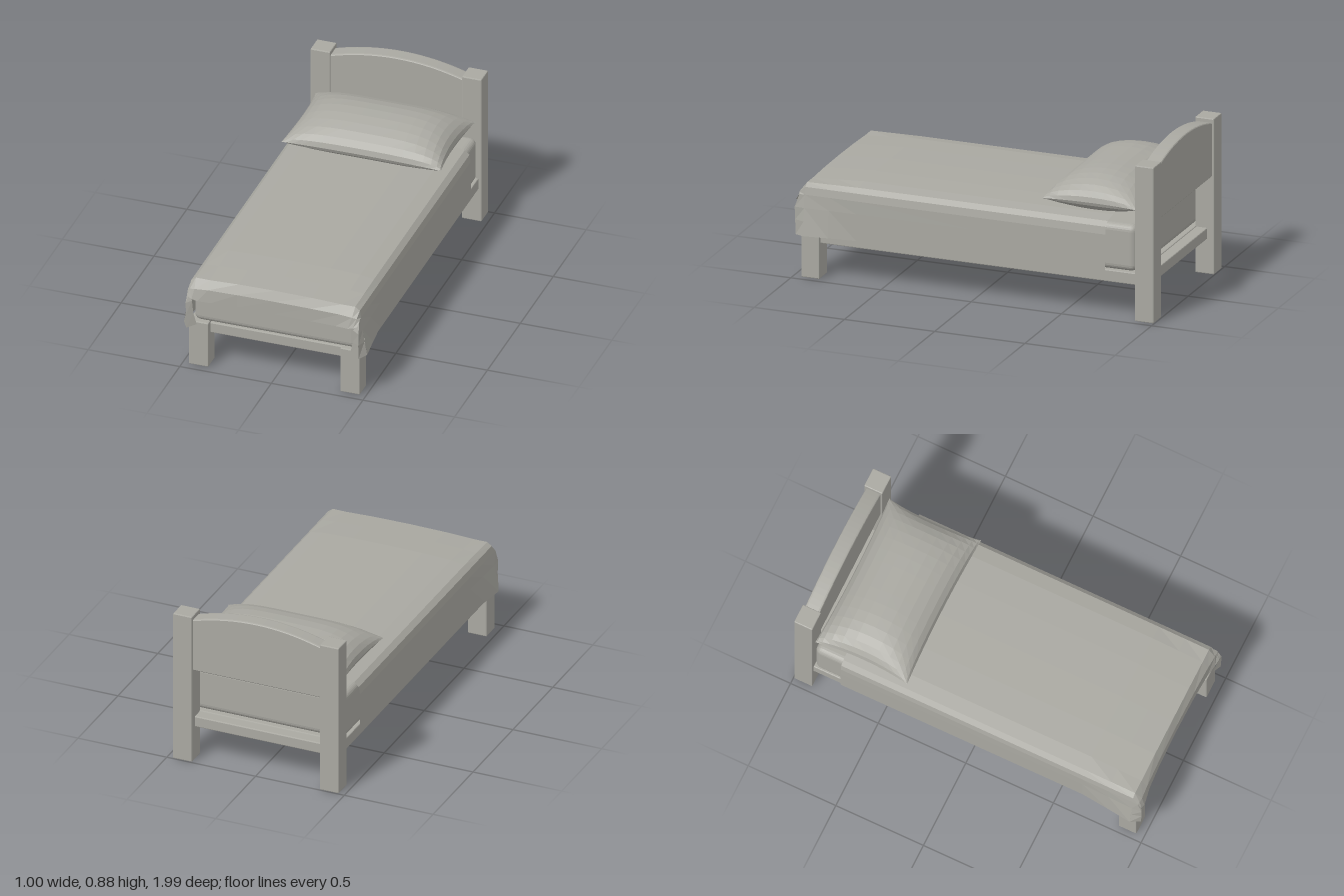
import * as THREE from 'three';
import { RoundedBoxGeometry } from 'three/addons/geometries/RoundedBoxGeometry.js';

const grey = new THREE.MeshStandardMaterial({ color: 0xa9a8a1, flatShading: true, side: THREE.DoubleSide });
grey.name = 'warm grey';

// Sheet through rows of [x, y, z] points
function loft(rows) {
  const n = rows[0].length, index = [];
  for (let i = 0; i < rows.length - 1; i++) {
    for (let j = 0; j < n - 1; j++) {
      const a = i * n + j, b = a + n;
      index.push(a, b, a + 1, b, b + 1, a + 1);
    }
  }
  const geo = new THREE.BufferGeometry();
  geo.setAttribute('position', new THREE.Float32BufferAttribute(rows.flat(2), 3));
  geo.setIndex(index);
  geo.computeVertexNormals();
  return geo;
}

// Half profile, centre to edge, mirrored into a full row from -x to +x
const mirrorRow = (half) => [
  ...half.slice(1).reverse().map(([x, y, z]) => [-x, y, z]),
  ...half,
];

export function createModel() {
  const model = new THREE.Group();
  model.name = 'bed';

  function add(name, geo) {
    const mesh = new THREE.Mesh(geo, grey);
    mesh.name = name;
    model.add(mesh);
    return mesh;
  }
  // Box given by its limits, with softened edges
  function box(name, x0, x1, y0, y1, z0, z1, r = 0.005, seg = 1) {
    const geo = new RoundedBoxGeometry(x1 - x0, y1 - y0, z1 - z0, seg, r);
    geo.translate((x0 + x1) / 2, (y0 + y1) / 2, (z0 + z1) / 2);
    return add(name, geo);
  }

  // Posts and legs
  for (const s of [-1, 1]) {
    const side = s > 0 ? 'left' : 'right';
    const x0 = s > 0 ? 0.36 : -0.467, x1 = s > 0 ? 0.467 : -0.36;
    box(side + 'HeadPost', x0, x1, 0, 0.847, -0.997, -0.893);
    box(side + 'FrontLeg', x0, x1, 0, 0.26, 0.855, 0.957);
  }

  // Bed base, narrower between the posts
  box('base', -0.45, 0.45, 0.19, 0.255, -0.9, 0.86);
  box('footRail', -0.365, 0.365, 0.19, 0.25, 0.84, 0.925);
  box('headRail', -0.365, 0.365, 0.19, 0.25, -0.96, -0.88);

  // Arched headboard
  const arch = new THREE.Shape();
  arch.moveTo(-0.362, 0.536);
  arch.lineTo(0.362, 0.536);
  arch.lineTo(0.362, 0.818);
  arch.quadraticCurveTo(0, 0.93, -0.362, 0.818);
  const board = new THREE.ExtrudeGeometry(arch, {
    depth: 0.062, curveSegments: 24, bevelEnabled: true,
    bevelThickness: 0.01, bevelSize: 0.006, bevelSegments: 2,
  });
  board.translate(0, 0, -0.975);
  add('headboard', board);

  // Mattress
  box('mattress', -0.447, 0.447, 0.255, 0.507, -0.89, 0.94, 0.035, 3);

  // Blanket: U-shaped sections along z, flared at the foot
  const section = (z, drop, flare, hem) => mirrorRow([
    [0, 0.534 - drop, z], [0.2, 0.532 - drop, z], [0.36, 0.526 - drop, z],
    [0.435, 0.514 - drop * 0.3, z], [0.46, 0.49, z], [0.467, 0.45, z],
    [0.468 + flare * 0.25, 0.38, z], [0.468 + flare, hem, z],
  ]);
  add('blanket', loft([
    section(-0.73, 0, 0, 0.225),
    section(0, 0, 0, 0.23),
    section(0.65, 0, 0.001, 0.235),
    section(0.8, 0.009, 0.016, 0.235),
    section(0.935, 0.018, 0.032, 0.235),
  ]));

  // Blanket flap folded over the foot end
  const foot = section(0.935, 0.018, 0, 0).slice(2, -2);
  add('blanketFootFlap', loft([
    foot,
    mirrorRow([[0, 0.465, 0.96], [0.2, 0.465, 0.962], [0.36, 0.465, 0.967],
      [0.43, 0.462, 0.972], [0.455, 0.458, 0.97], [0.468, 0.45, 0.965]]),
    mirrorRow([[0, 0.391, 0.96], [0.2, 0.391, 0.963], [0.34, 0.395, 0.972],
      [0.41, 0.4, 0.985], [0.44, 0.41, 0.99], [0.463, 0.42, 0.985]]),
  ]));

  // Draped corner folds
  for (const s of [-1, 1]) {
    const rows = [
      [[0.467, 0.45, 0.935], [0.468, 0.45, 0.965], [0.45, 0.45, 0.972]],
      [[0.476, 0.38, 0.935], [0.472, 0.38, 0.99], [0.44, 0.395, 0.982]],
      [[0.485, 0.31, 0.935], [0.47, 0.31, 0.988], [0.435, 0.32, 0.975]],
      [[0.5, 0.235, 0.935], [0.47, 0.23, 0.985], [0.42, 0.25, 0.965]],
    ].map((row) => {
      const r = row.map(([x, y, z]) => [s * x, y, z]);
      return s > 0 ? r.reverse() : r;
    });
    add((s > 0 ? 'left' : 'right') + 'BlanketCorner', loft(rows));
  }

  // Pillow: two domed halves meeting at a pinched seam
  const nu = 18, nv = 12;
  function pillowHalf(top) {
    const rows = [];
    for (let i = 0; i <= nv; i++) {
      const v = Math.sin((i / nv - 0.5) * Math.PI), row = [];
      for (let j = 0; j <= nu; j++) {
        const k = top ? j : nu - j;
        const u = Math.sin((k / nu - 0.5) * Math.PI);
        const puff = Math.pow(Math.max(0, (1 - u ** 4) * (1 - v * v)), 0.55);
        const x = 0.436 * u * (1 - 0.05 * (1 - v * v));
        const z = -0.628 + 0.262 * v * (1 - 0.05 * (1 - u * u));
        const y = top ? 0.592 + 0.128 * puff : 0.592 - 0.056 * Math.min(1, 1.5 * puff);
        row.push([x, y, z]);
      }
      rows.push(row);
    }
    return loft(rows);
  }
  add('pillowTop', pillowHalf(true));
  add('pillowUnderside', pillowHalf(false));

  return model;
}
